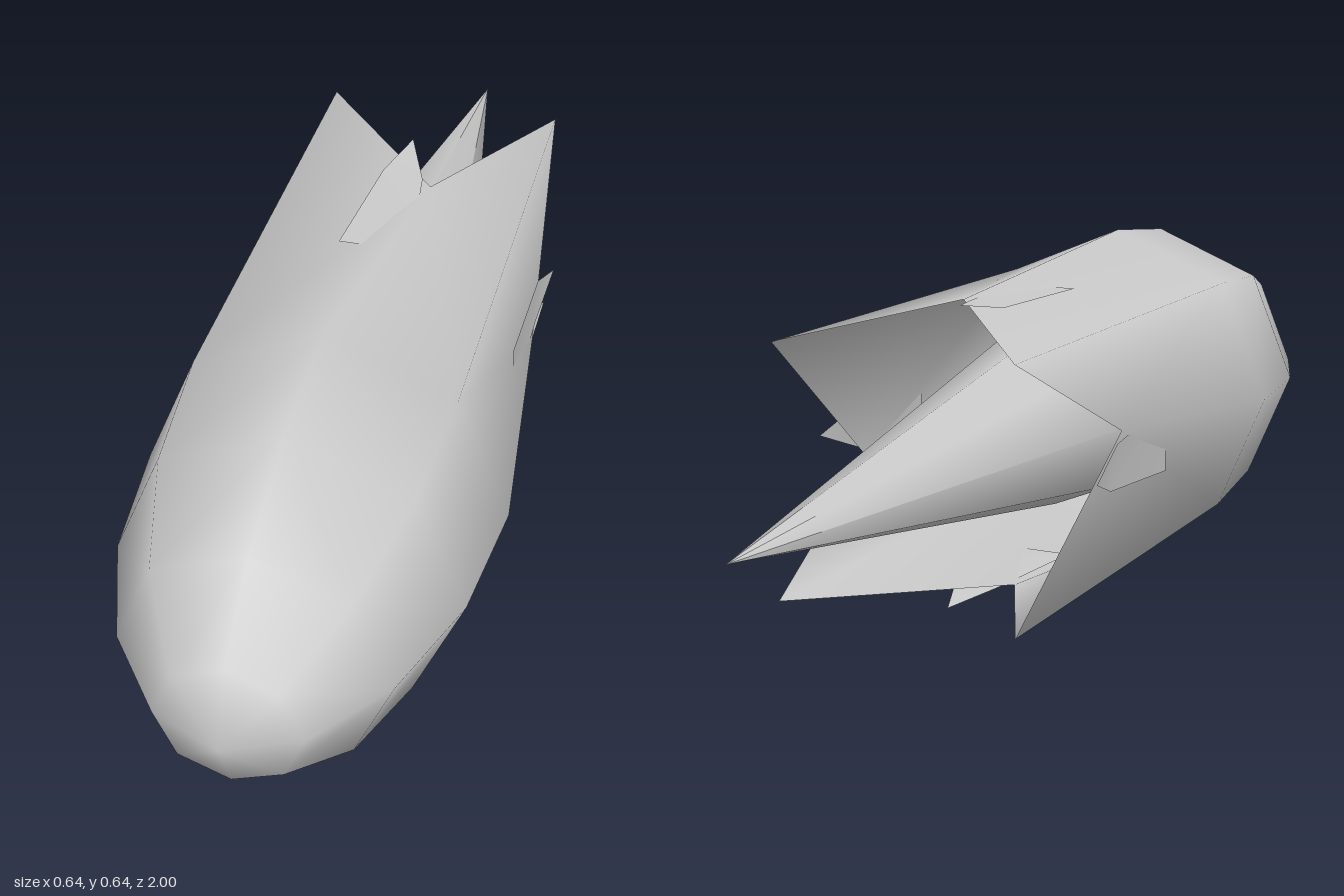
import * as THREE from 'three';

const CY = 0.32;
const SIDES = 8;
const material = new THREE.MeshStandardMaterial({ color: 0xcccccc, side: THREE.DoubleSide });

function surface(name, positions, index) {
  const geometry = new THREE.BufferGeometry();
  geometry.setAttribute('position', new THREE.Float32BufferAttribute(positions, 3));
  geometry.setIndex(index);
  geometry.computeVertexNormals();
  const mesh = new THREE.Mesh(geometry, material);
  mesh.name = name;
  return mesh;
}

// Rounded eight-sided head whose rear rim splits into four long points
function createShell() {
  const profile = [[0.95, 0.12], [0.815, 0.225], [0.62, 0.295], [0.39, 0.319]];
  const positions = [0, 0, 1];
  const index = [];
  const addPoint = (a, r, z) => positions.push(r * Math.cos(a), r * Math.sin(a), z);
  const angle = (i) => (i / SIDES) * Math.PI * 2;

  for (const [z, r] of profile) {
    for (let i = 0; i < SIDES; i++) addPoint(angle(i), r, z);
  }
  // Rear rim: tips on the diagonals, slightly twisted notches between them
  for (let i = 0; i < SIDES; i++) {
    if (i % 2) addPoint(angle(i), 0.318, -0.53);
    else addPoint(angle(i) - 0.19, 0.262, -0.18);
  }

  for (let i = 0; i < SIDES; i++) {
    const j = (i + 1) % SIDES;
    index.push(0, 1 + i, 1 + j);
    for (let k = 0; k < profile.length; k++) {
      const f = 1 + k * SIDES;
      const b = f + SIDES;
      if (i % 2) index.push(f + i, b + i, b + j, f + i, b + j, f + j);
      else index.push(f + i, b + i, f + j, f + j, b + i, b + j);
    }
  }
  return surface('flameShell', positions, index);
}

// Small pointed tongue lying over a notch, on the upper side
function createTongue() {
  const positions = [
    0.06, 0.255, 0.03,
    -0.07, 0.255, 0.03,
    -0.05, 0.255, -0.22,
    -0.015, 0.271, -0.315,
    0.03, 0.258, -0.2,
  ];
  return surface('smallTongue', positions, [0, 2, 1, 0, 4, 2, 4, 3, 2]);
}

export function createModel() {
  const group = new THREE.Group();
  group.name = 'fireball';
  const body = new THREE.Group();
  body.name = 'body';
  body.position.y = CY;
  group.add(body);

  body.add(createShell());

  // Four small tongues around the axis
  for (let i = 0; i < 4; i++) {
    const tongue = createTongue();
    tongue.rotation.z = (i * Math.PI) / 2;
    body.add(tongue);
  }

  // Long central tail spike
  const tail = new THREE.CylinderGeometry(0, 0.18, 1.1, SIDES, 1, true);
  tail.rotateX(-Math.PI / 2);
  tail.translate(0, 0, -0.45);
  const tailMesh = new THREE.Mesh(tail, material);
  tailMesh.name = 'tailSpike';
  body.add(tailMesh);

  return group;
}
